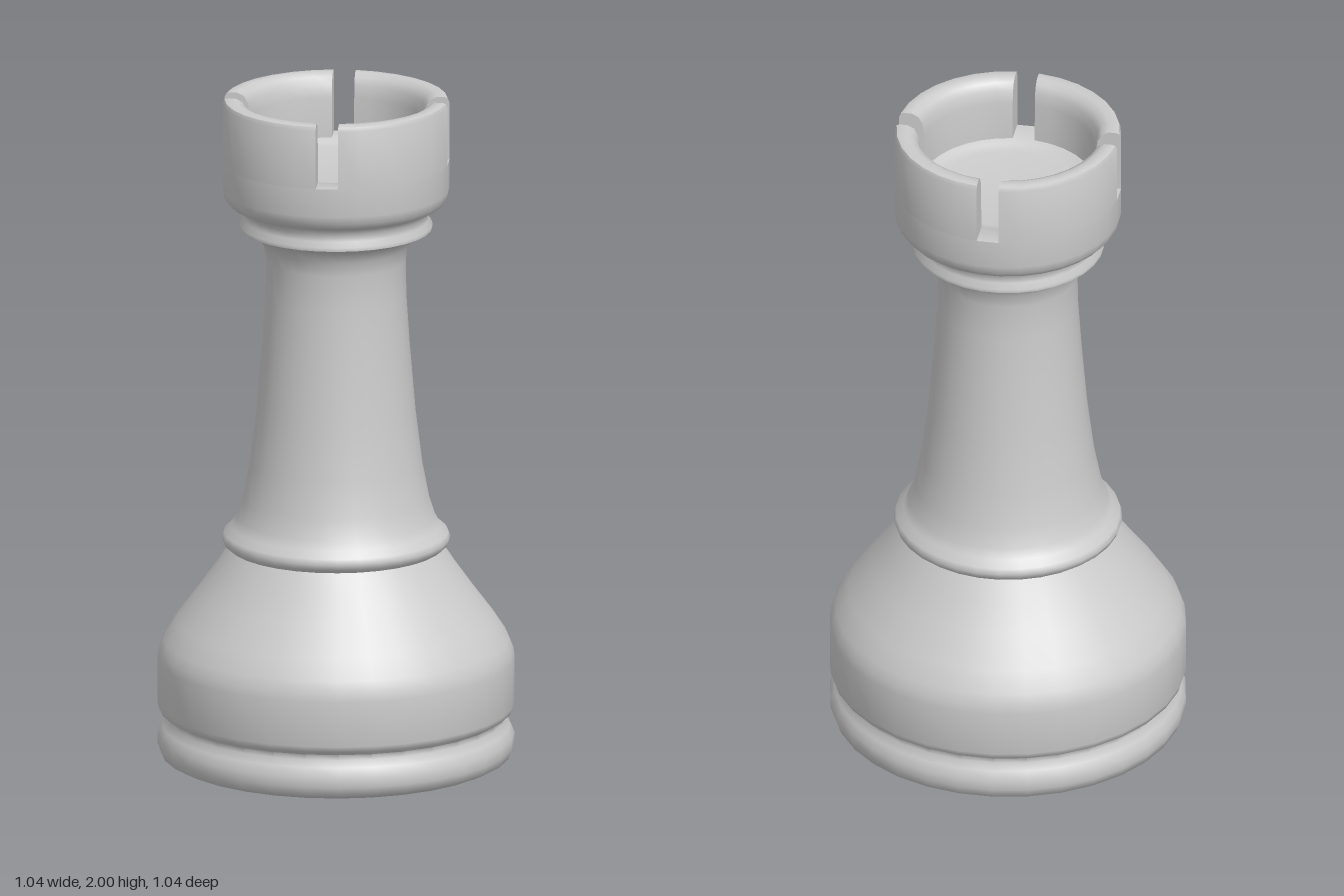
import * as THREE from 'three';
import { toCreasedNormals } from 'three/addons/utils/BufferGeometryUtils.js';

const SIDES = 32;
const HALF_SLOT = 0.033;
const SLOT_Y = 1.81;
const toPoints = (list) => list.map(([r, y]) => new THREE.Vector2(r, y));

// Turned body, from the underside up to the floor of the crown
const bodyProfile = toPoints([
  [0, 0], [0.49, 0], [0.514, 0.012], [0.524, 0.04], [0.524, 0.07], [0.512, 0.098],
  [0.497, 0.118], [0.498, 0.134], [0.52, 0.148], [0.525, 0.165], [0.525, 0.3],
  [0.521, 0.327], [0.508, 0.36], [0.47, 0.418], [0.405, 0.505], [0.352, 0.58],
  [0.315, 0.638], [0.33, 0.65], [0.336, 0.667], [0.33, 0.683], [0.307, 0.702],
  [0.292, 0.73], [0.274, 0.787], [0.254, 0.89], [0.234, 1.05], [0.217, 1.25],
  [0.207, 1.4], [0.205, 1.51], [0.212, 1.553], [0.233, 1.587], [0.283, 1.607],
  [0.284, 1.618], [0.272, 1.634], [0.272, 1.656], [0.285, 1.672], [0.314, 1.684],
  [0.328, 1.701], [0.333, 1.725], [0.333, SLOT_Y],
  [0.257, SLOT_Y], [0.245, 1.799], [0.21, 1.793], [0, 1.79],
]);

// Cross-section of the crown wall above the slot floor
const wallProfile = toPoints([
  [0.333, SLOT_Y], [0.333, 1.985], [0.328, 1.997], [0.318, 2], [0.296, 2],
  [0.276, 1.99], [0.264, 1.968], [0.258, 1.93], [0.257, SLOT_Y],
]);

// A quarter of the crown, its ends cut parallel to the slots
function wallGeometry() {
  const geo = new THREE.LatheGeometry(wallProfile, 7, 0, 1);
  const pos = geo.attributes.position;
  const uv = geo.attributes.uv;
  for (let i = 0; i < pos.count; i++) {
    const r = Math.hypot(pos.getX(i), pos.getZ(i));
    const phi = (2 * uv.getX(i) - 1) * (Math.PI / 4 - Math.asin(HALF_SLOT / r));
    pos.setX(i, r * Math.sin(phi));
    pos.setZ(i, r * Math.cos(phi));
  }
  return toCreasedNormals(geo, 0.8);
}

export function createModel() {
  const model = new THREE.Group();
  model.name = 'rook';
  const material = new THREE.MeshStandardMaterial({ color: 0xcccccc });
  const capMaterial = new THREE.MeshStandardMaterial({ color: 0xcccccc, side: THREE.DoubleSide });

  const bodyGeo = new THREE.LatheGeometry(bodyProfile, SIDES, Math.PI / SIDES);
  const body = new THREE.Mesh(toCreasedNormals(bodyGeo, 0.95), material);
  body.name = 'body';
  model.add(body);

  // Four battlements separated by diagonal slots
  const wallGeo = wallGeometry();
  const capGeo = new THREE.ShapeGeometry(new THREE.Shape(
    wallProfile.map((p) => new THREE.Vector2(Math.sqrt(p.x ** 2 - HALF_SLOT ** 2), p.y))));
  for (let i = 0; i < 4; i++) {
    const wall = new THREE.Mesh(wallGeo, material);
    wall.name = 'battlement';
    wall.rotation.y = i * Math.PI / 2;
    model.add(wall);

    // Flat faces on either side of each slot
    const slot = new THREE.Group();
    slot.name = 'slotFaces';
    slot.rotation.y = Math.PI / 4 + i * Math.PI / 2;
    for (const side of [-1, 1]) {
      const cap = new THREE.Mesh(capGeo, capMaterial);
      cap.name = 'slotFace';
      cap.position.z = side * HALF_SLOT;
      slot.add(cap);
    }
    model.add(slot);
  }
  return model;
}
